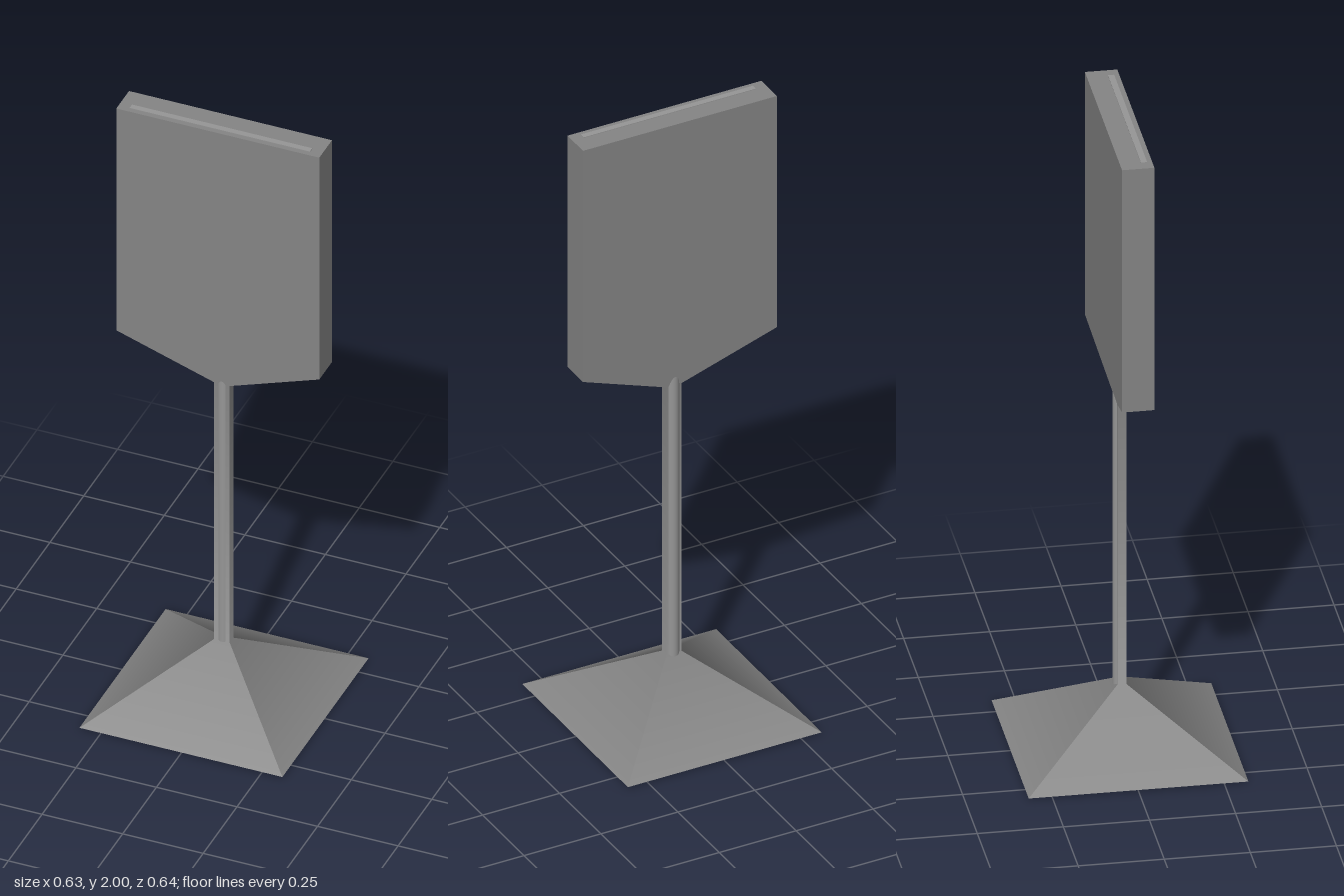
import * as THREE from 'three';

const shellMaterial = new THREE.MeshStandardMaterial({ color: 0x858585, side: THREE.DoubleSide });
const fittingMaterial = new THREE.MeshStandardMaterial({ color: 0x969696 });

// Four-sided skin through sections [y, halfWidth, zBack, zFront, lift], bottom to top.
// Shading runs smoothly along each side; lift is the upward part of its normal there.
function loft(sections) {
  const pos = [], nor = [], index = [];
  const sides = [[0, 1], [1, 0], [0, -1], [-1, 0]]; // outward x, z
  sides.forEach(([nx, nz], k) => {
    const start = pos.length / 3;
    sections.forEach(([y, w, zb, zf, lift]) => {
      const corners = [[-w, y, zf], [w, y, zf], [w, y, zb], [-w, y, zb]];
      const flat = Math.sqrt(1 - lift * lift);
      pos.push(...corners[k], ...corners[(k + 1) % 4]);
      for (let i = 0; i < 2; i++) nor.push(nx * flat, lift, nz * flat);
    });
    for (let i = 0; i < sections.length - 1; i++) {
      const a = start + i * 2;
      index.push(a, a + 1, a + 3, a, a + 3, a + 2);
    }
  });
  const geometry = new THREE.BufferGeometry();
  geometry.setAttribute('position', new THREE.Float32BufferAttribute(pos, 3));
  geometry.setAttribute('normal', new THREE.Float32BufferAttribute(nor, 3));
  geometry.setIndex(index);
  return geometry;
}

export function createModel() {
  const model = new THREE.Group();
  model.name = 'floorSign';
  const add = (name, geometry, material, x = 0, y = 0, z = 0, parent = model) => {
    const mesh = new THREE.Mesh(geometry, material);
    mesh.name = name;
    mesh.position.set(x, y, z);
    parent.add(mesh);
    return mesh;
  };

  // One continuous shell: hollow pyramid base, post cover, taper and sign head
  add('signShell', loft([
    [0.004, 0.315, -0.319, 0.319, 0.83],
    [0.197, 0.024, -0.012, 0.015, 0.47],
    [1.097, 0.024, -0.012, 0.015, 0],
    [1.22, 0.315, -0.048, 0.046, 0],
    [1.998, 0.315, -0.048, 0.046, 0],
  ]), shellMaterial);
  const top = add('headTop', new THREE.PlaneGeometry(0.63, 0.094), shellMaterial, 0, 1.998, -0.001);
  top.rotation.x = -Math.PI / 2;

  // Insert panel, its top edge just proud of the head
  add('insertPanel', new THREE.BoxGeometry(0.56, 0.04, 0.018), fittingMaterial, 0, 1.98, 0.022);

  // Round pipe behind the post cover, from the foot up into the head
  add('postPipe', new THREE.CylinderGeometry(0.02, 0.02, 1.15, 24), fittingMaterial, 0, 0.58, -0.002);

  // Wire foot inside the base: ring and spokes
  const foot = new THREE.Group();
  foot.name = 'wireFoot';
  model.add(foot);
  const ring = add('footRing', new THREE.TorusGeometry(0.283, 0.009, 8, 48), fittingMaterial, 0, 0.009, 0, foot);
  ring.rotation.x = Math.PI / 2;
  for (let i = 0; i < 4; i++) {
    const a = (i * Math.PI) / 2;
    const spoke = add('footSpoke', new THREE.CylinderGeometry(0.007, 0.007, 0.283, 8), fittingMaterial,
      0.1415 * Math.cos(a), 0.009, -0.1415 * Math.sin(a), foot);
    spoke.rotation.set(0, a, Math.PI / 2);
  }
  return model;
}
